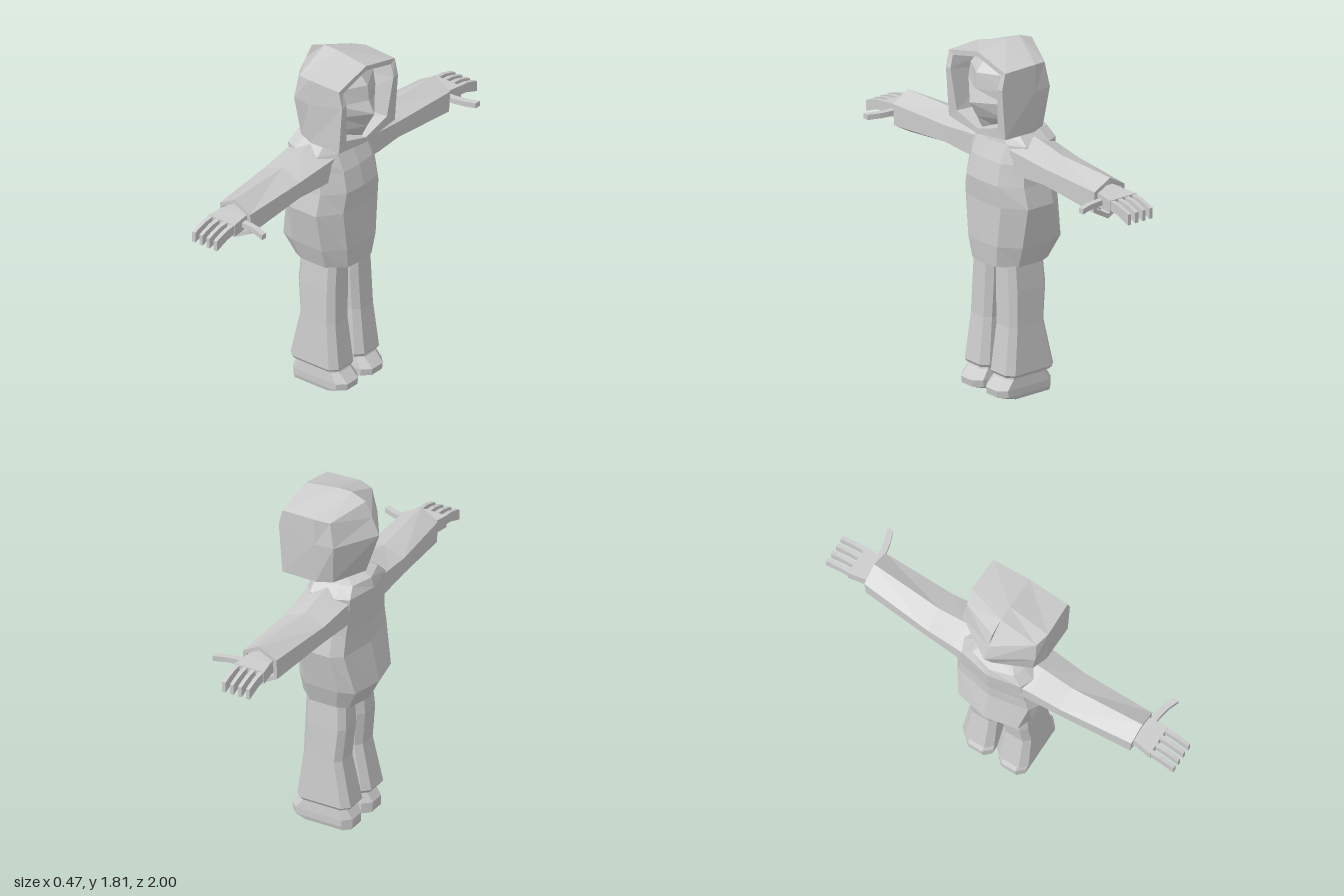
import * as THREE from 'three';

const material = new THREE.MeshStandardMaterial({ color: 0xcccccc, flatShading: true });

// Skins a row of closed cross-sections, caps the ends and turns the faces outward
function loft(name, rows, caps = true) {
  const pts = [];
  const tri = (a, b, c) => pts.push(a, b, c);
  for (let i = 0; i < rows.length - 1; i++) {
    const a = rows[i], b = rows[i + 1], n = a.length;
    for (let j = 0; j < n; j++) {
      const k = (j + 1) % n;
      tri(a[j], a[k], b[k]);
      tri(a[j], b[k], b[j]);
    }
  }
  if (caps) {
    const first = rows[0], last = rows[rows.length - 1];
    for (let j = 1; j < first.length - 1; j++) {
      tri(first[0], first[j + 1], first[j]);
      tri(last[0], last[j], last[j + 1]);
    }
  }
  const v = pts.map((p) => new THREE.Vector3(...p));
  let volume = 0;
  for (let i = 0; i < v.length; i += 3) volume += v[i].dot(v[i + 1].clone().cross(v[i + 2]));
  if (volume < 0) for (let i = 0; i < v.length; i += 3) [v[i], v[i + 1]] = [v[i + 1], v[i]];
  const geometry = new THREE.BufferGeometry().setFromPoints(v);
  geometry.computeVertexNormals();
  const mesh = new THREE.Mesh(geometry, material);
  mesh.name = name;
  return mesh;
}

const flip = ([x, y, z]) => [x, y, -z];
// Completes a half section that starts and ends on the middle plane
const whole = (half) => [...half, ...half.slice(1, -1).reverse().map(flip)];

// Horizontal rectangle with cut corners
const slab = (y, x0, x1, z0, z1, c) => [
  [x0 + c, y, z0], [x1 - c, y, z0], [x1, y, z0 + c], [x1, y, z1 - c],
  [x1 - c, y, z1], [x0 + c, y, z1], [x0, y, z1 - c], [x0, y, z0 + c],
];

// Upright rectangle across the arm direction
const plate = (z, x0, x1, y0, y1) => [[x0, y0, z], [x1, y0, z], [x1, y1, z], [x0, y1, z]];

// Upright hexagon with its points at top and bottom
const hexagon = (z, x0, x1, y0, y1, slant = 0) => {
  const m = (x0 + x1) / 2, h = y1 - y0;
  return [[m, y1, z + slant], [x1, y1 - h * 0.25, z + slant / 2], [x1, y0 + h * 0.25, z - slant / 2],
    [m, y0, z - slant], [x0, y0 + h * 0.25, z - slant / 2], [x0, y1 - h * 0.25, z + slant / 2]];
};

function createBody() {
  // height, front, back, half width
  const rows = [
    [0.68, 0.15, -0.18, 0.165], [0.79, 0.16, -0.235, 0.2], [1.0, 0.155, -0.19, 0.24],
    [1.11, 0.165, -0.19, 0.215], [1.22, 0.14, -0.2, 0.2], [1.31, 0.1, -0.205, 0.2],
    [1.36, 0.09, -0.19, 0.14], [1.385, 0.08, -0.13, 0.09],
  ].map(([y, f, b, w]) => whole([
    [f, y, 0], [f - 0.01, y, w * 0.55], [f * 0.4, y, w], [b * 0.5, y, w], [b + 0.035, y, w * 0.85], [b, y, 0],
  ]));
  return loft('jacketBody', rows);
}

function createHood() {
  // Outer rim, side front, side back, back point, then inner back and inner rim
  const rows = [
    [[0.18, 1.785, 0], [0, 1.81, 0], [-0.08, 1.81, 0], [-0.16, 1.78, 0], [-0.1, 1.76, 0], [0.18, 1.76, 0]],
    [[0.185, 1.735, 0.215], [0, 1.74, 0.22], [-0.075, 1.73, 0.2], [-0.195, 1.7, 0], [-0.08, 1.7, 0.17], [0.185, 1.715, 0.185]],
    [[0.205, 1.65, 0.215], [0, 1.6, 0.22], [-0.1, 1.6, 0.21], [-0.235, 1.61, 0], [-0.1, 1.6, 0.17], [0.205, 1.65, 0.18]],
    [[0.185, 1.39, 0.215], [0, 1.385, 0.21], [-0.08, 1.39, 0.18], [-0.16, 1.39, 0], [-0.08, 1.43, 0.14], [0.185, 1.435, 0.155]],
    [[0.18, 1.358, 0], [0, 1.375, 0], [-0.08, 1.385, 0], [-0.16, 1.39, 0], [-0.08, 1.41, 0], [0.18, 1.385, 0]],
  ].map((h) => [h[0], h[1], h[2], h[3], flip(h[2]), flip(h[1]), flip(h[0]), flip(h[5]), flip(h[4]), h[4], h[5]]);
  return loft('hood', rows, false);
}

function createHead() {
  // height, ridge of the face, cheek, half width
  const rows = [
    [1.39, 0.155, 0.1, 0.06], [1.45, 0.185, 0.11, 0.125], [1.535, 0.232, 0.12, 0.14],
    [1.6, 0.198, 0.12, 0.145], [1.68, 0.19, 0.11, 0.14], [1.745, 0.13, 0.08, 0.1],
  ].map(([y, f, c, w]) => whole([[f, y, 0], [c, y, w], [-0.05, y, w], [-0.07, y, 0]]));
  return loft('face', rows);
}

// Sleeve with a hollow cuff, hand, four bent fingers and thumb, pointing along +z
function createArm() {
  const arm = new THREE.Group();
  arm.add(loft('sleeve', [
    hexagon(0.1, -0.17, 0.09, 1.12, 1.35), hexagon(0.22, -0.16, 0.085, 1.12, 1.335),
    hexagon(0.38, -0.15, 0.075, 1.135, 1.305), hexagon(0.765, -0.11, 0.08, 1.095, 1.312, 0.008),
    hexagon(0.765, -0.09, 0.06, 1.12, 1.29, 0.008), hexagon(0.7, -0.085, 0.055, 1.125, 1.285),
  ]));
  arm.add(loft('hand', [
    plate(0.68, -0.085, 0.05, 1.18, 1.24), plate(0.78, -0.085, 0.055, 1.175, 1.245),
    plate(0.87, -0.1, 0.065, 1.175, 1.24),
  ]));
  for (let i = 0; i < 4; i++) {
    const x = -0.085 + i * 0.045;
    arm.add(loft('finger', [
      plate(0.86, x - 0.012, x + 0.012, 1.19, 1.238), plate(0.92, x - 0.011, x + 0.011, 1.18, 1.232),
      plate(0.97, x - 0.01, x + 0.01, 1.16, 1.217), plate(1.0, x - 0.01, x + 0.01, 1.15, 1.205),
    ]));
  }
  const thumb = [[0.03, 0.785], [0.1, 0.79], [0.15, 0.8], [0.21, 0.822]].map(([x, z]) => [
    [x, 1.195, z - 0.016], [x, 1.222, z - 0.016], [x, 1.222, z + 0.016], [x, 1.195, z + 0.016],
  ]);
  arm.add(loft('thumb', thumb));
  return arm;
}

function createLeg() {
  const leg = new THREE.Group();
  leg.add(loft('trouserLeg', [
    slab(0.115, -0.155, 0.125, 0.01, 0.18, 0.035), slab(0.13, -0.165, 0.135, 0.008, 0.19, 0.035),
    slab(0.37, -0.112, 0.105, 0.02, 0.175, 0.03), slab(0.55, -0.13, 0.1, 0.012, 0.168, 0.03),
    slab(0.72, -0.12, 0.1, 0.008, 0.155, 0.03),
  ]));
  leg.add(loft('shoe', [
    slab(0, -0.16, 0.11, 0.02, 0.17, 0.03), slab(0.02, -0.165, 0.17, 0.015, 0.175, 0.04),
    slab(0.055, -0.165, 0.175, 0.015, 0.175, 0.04), slab(0.105, -0.13, 0.125, 0.025, 0.17, 0.03),
    slab(0.12, -0.13, 0.12, 0.025, 0.17, 0.03),
  ]));
  return leg;
}

// Copies a limb across the middle plane
function addPair(parent, name, make) {
  const one = make(), other = make();
  one.name = name + 'PositiveZ';
  other.name = name + 'NegativeZ';
  other.scale.z = -1;
  parent.add(one, other);
}

export function createModel() {
  const model = new THREE.Group();
  model.name = 'hoodedFigure';
  const neck = new THREE.Mesh(new THREE.CylinderGeometry(0.09, 0.12, 0.12, 8), material);
  neck.name = 'neck';
  neck.position.set(-0.01, 1.37, 0);
  model.add(createBody(), neck, createHead(), createHood());
  addPair(model, 'arm', createArm);
  addPair(model, 'leg', createLeg);
  return model;
}
